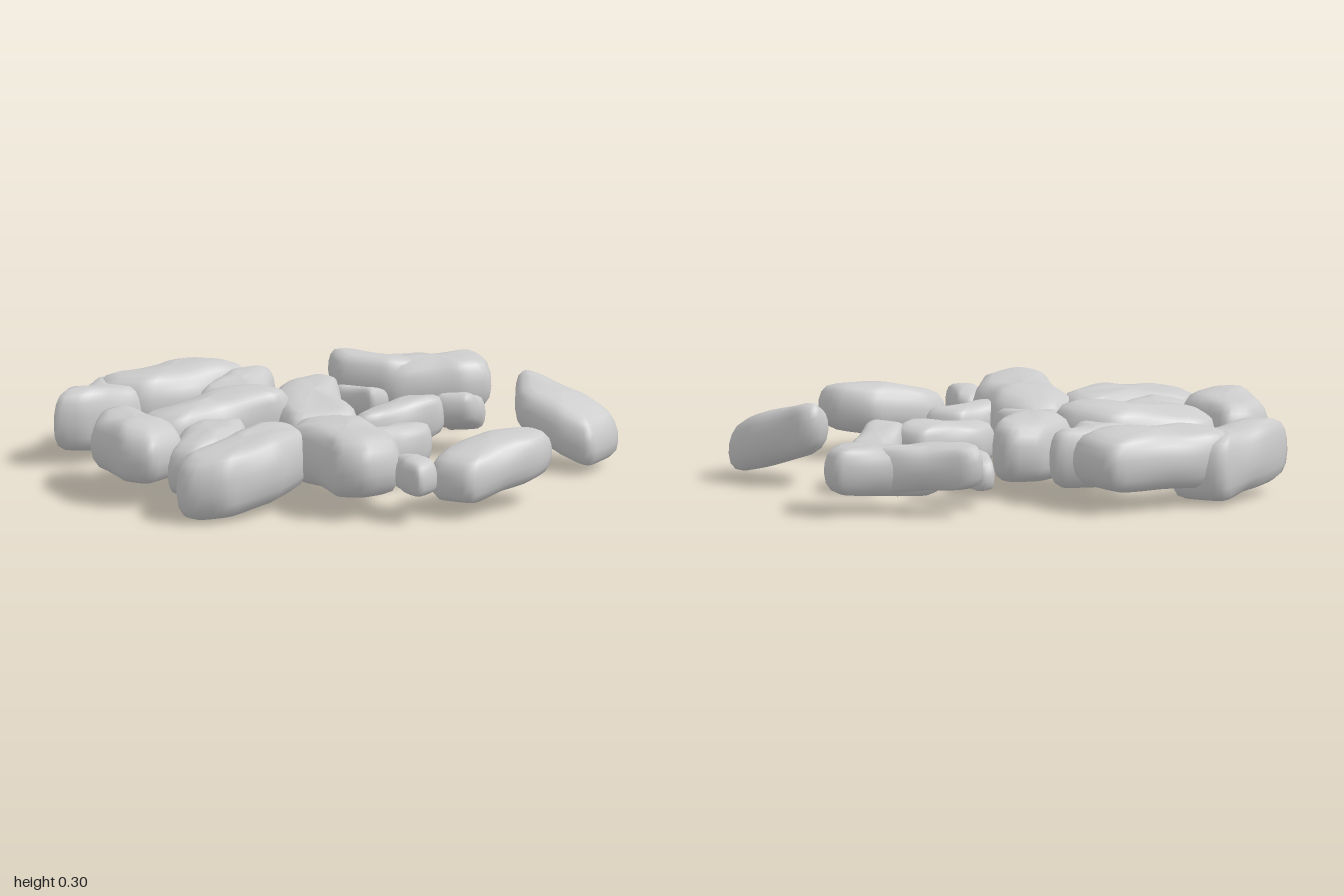
import * as THREE from 'three';

const stone = new THREE.MeshStandardMaterial({ color: 0xcccccc });
stone.name = 'grey stone';

// Rounded side profile from base to crown: [inset, height], both as fractions
const profile = [
  [1, 0], [0.75, 0], [0.45, 0.015], [0.22, 0.09], [0.06, 0.23], [0, 0.42],
  [0.015, 0.6], [0.1, 0.77], [0.25, 0.9], [0.48, 0.975], [0.75, 1], [1, 1.01],
];
const SIDES = 48;

// A boulder lofted over its plan outline [x, z], listed from left round the back
function boulder(outline, low, high, tiltX, tiltZ, phase) {
  const corners = outline.map(([x, z]) => new THREE.Vector3(x, 0, z));
  // A low tension keeps the edges nearly straight and the corners crisp
  const curve = new THREE.CatmullRomCurve3(corners, true, 'catmullrom', 0.22);
  const ring = curve.getSpacedPoints(SIDES).slice(0, SIDES);
  const centre = new THREE.Vector3();
  ring.forEach((p) => centre.addScaledVector(p, 1 / SIDES));
  const radius = Math.min(...ring.map((p) => p.distanceTo(centre)));

  const positions = [];
  const index = [];
  profile.forEach(([inset, h], level) => {
    ring.forEach((p, i) => {
      // Even inset near the rim, closing to the centre at base and crown
      const even = 1 - inset * radius / p.distanceTo(centre);
      const scale = THREE.MathUtils.lerp(even, 1 - inset, inset * inset);
      const x = (p.x - centre.x) * scale;
      const z = (p.z - centre.z) * scale;
      // Gentle lumps, strongest on the crown
      const lump = 0.01 * h * Math.sin(14 * x + phase) * Math.cos(17 * z + 2 * phase);
      positions.push(
        centre.x + x,
        THREE.MathUtils.lerp(low, high, h) + tiltX * x + tiltZ * z + lump,
        centre.z + z,
      );
      if (level < profile.length - 1) {
        const a = level * SIDES + i;
        const b = level * SIDES + (i + 1) % SIDES;
        index.push(a, a + SIDES, b, b, a + SIDES, b + SIDES);
      }
    });
  });
  const geo = new THREE.BufferGeometry();
  geo.setAttribute('position', new THREE.Float32BufferAttribute(positions, 3));
  geo.setIndex(index);
  geo.computeVertexNormals();
  return geo;
}

export function createModel() {
  const group = new THREE.Group();
  group.name = 'rockPile';

  // Heights are at the rock's middle; the tilts are rise per unit of x and z
  function rock(name, outline, low, high, tiltX = 0, tiltZ = 0) {
    const phase = group.children.length * 1.7;
    const mesh = new THREE.Mesh(boulder(outline, low, high, tiltX, tiltZ, phase), stone);
    mesh.name = name;
    group.add(mesh);
  }

  // Large slabs of the main heap
  rock('backSlab', [[-0.82, -0.43], [-0.80, -0.52], [-0.41, -0.76], [-0.26, -0.60],
    [-0.29, -0.52], [-0.45, -0.40], [-0.66, -0.32], [-0.81, -0.37]], 0.08, 0.29, 0.02);
  rock('backCornerSlab', [[-1, -0.18], [-0.95, -0.32], [-0.80, -0.57], [-0.72, -0.56],
    [-0.60, -0.48], [-0.67, -0.32], [-0.81, -0.21], [-0.90, -0.17]], 0.04, 0.27, -0.06, 0.08);
  rock('backInnerRock', [[-0.48, -0.28], [-0.34, -0.54], [-0.20, -0.57], [-0.17, -0.51],
    [-0.24, -0.24], [-0.29, -0.19], [-0.42, -0.22]], 0.06, 0.28, 0, -0.06);
  rock('centreSlab', [[-0.24, -0.19], [-0.14, -0.40], [-0.02, -0.45], [0.04, -0.37],
    [0.04, -0.08], [0.07, 0.07], [0.03, 0.13], [-0.18, 0.15], [-0.22, 0]], 0.05, 0.28, 0, -0.06);
  rock('middleSlab', [[-0.75, 0.06], [-0.70, -0.04], [-0.39, -0.21], [-0.21, -0.16], [-0.16, -0.09],
    [-0.19, -0.01], [-0.40, 0.08], [-0.60, 0.19], [-0.72, 0.15]], 0.07, 0.29, 0.14);
  rock('sideSlab', [[-0.91, 0.22], [-0.87, 0.05], [-0.78, -0.01], [-0.72, 0.04],
    [-0.60, 0.27], [-0.60, 0.40], [-0.72, 0.51], [-0.83, 0.45]], 0.09, 0.295);
  rock('sideInnerRock', [[-0.66, 0.46], [-0.60, 0.22], [-0.50, 0.10], [-0.35, 0.14],
    [-0.36, 0.30], [-0.48, 0.48], [-0.58, 0.53]], 0.06, 0.26, 0.08, -0.05);
  rock('frontCornerSlab', [[-0.65, 0.67], [-0.62, 0.55], [-0.29, 0.23], [-0.19, 0.27],
    [-0.15, 0.40], [-0.26, 0.61], [-0.48, 0.76], [-0.62, 0.74]], 0.03, 0.27, 0.11);
  rock('frontSlab', [[-0.23, 0.32], [-0.16, 0.18], [-0.04, 0.14], [0.07, 0.23], [0.16, 0.51],
    [0.14, 0.70], [0.02, 0.78], [-0.09, 0.74], [-0.17, 0.48]], 0.07, 0.295, 0, 0.05);

  // Small stones round the heap
  rock('frontSmallStone', [[0.03, 0.32], [0.18, 0.17], [0.31, 0.20],
    [0.29, 0.27], [0.14, 0.39], [0.04, 0.43]], 0.09, 0.24);
  rock('frontPebble', [[0.12, 0.64], [0.17, 0.57], [0.22, 0.60],
    [0.27, 0.78], [0.20, 0.85], [0.14, 0.77]], 0.11, 0.23);
  rock('middleSmallStone', [[0.05, -0.01], [0.10, -0.11], [0.30, -0.25], [0.40, -0.19],
    [0.37, -0.11], [0.14, 0.03], [0.07, 0.04]], 0.09, 0.24, 0.06);
  rock('middlePebble', [[0.36, -0.16], [0.42, -0.37], [0.51, -0.37],
    [0.56, -0.33], [0.51, -0.16], [0.47, -0.13]], 0.10, 0.23, 0, 0.33);
  rock('backPebble', [[0.02, -0.62], [0.07, -0.64], [0.23, -0.48],
    [0.16, -0.39], [0.04, -0.51]], 0.09, 0.20, 0, 0.2);

  // Outlying rocks
  rock('frontOutlier', [[0.26, 0.64], [0.30, 0.56], [0.50, 0.43], [0.65, 0.44],
    [0.71, 0.51], [0.65, 0.60], [0.39, 0.78], [0.27, 0.70]], 0.08, 0.26, 0.11, -0.09);
  rock('sideOutlier', [[0.64, -0.08], [0.66, -0.23], [0.73, -0.24], [0.93, -0.10],
    [1, 0], [0.89, 0.15], [0.78, 0.10], [0.66, -0.01]], 0.08, 0.27, -0.25, -0.2);
  rock('backOutlierRear', [[0.05, -0.83], [0.11, -0.86], [0.35, -0.81], [0.46, -0.78],
    [0.43, -0.67], [0.25, -0.64], [0.07, -0.71]], 0.10, 0.26, -0.08);
  rock('backOutlierFront', [[0.20, -0.67], [0.25, -0.75], [0.35, -0.80], [0.57, -0.85],
    [0.62, -0.75], [0.61, -0.64], [0.51, -0.60], [0.27, -0.62]], 0.07, 0.255, 0.02, -0.1);

  return group;
}
